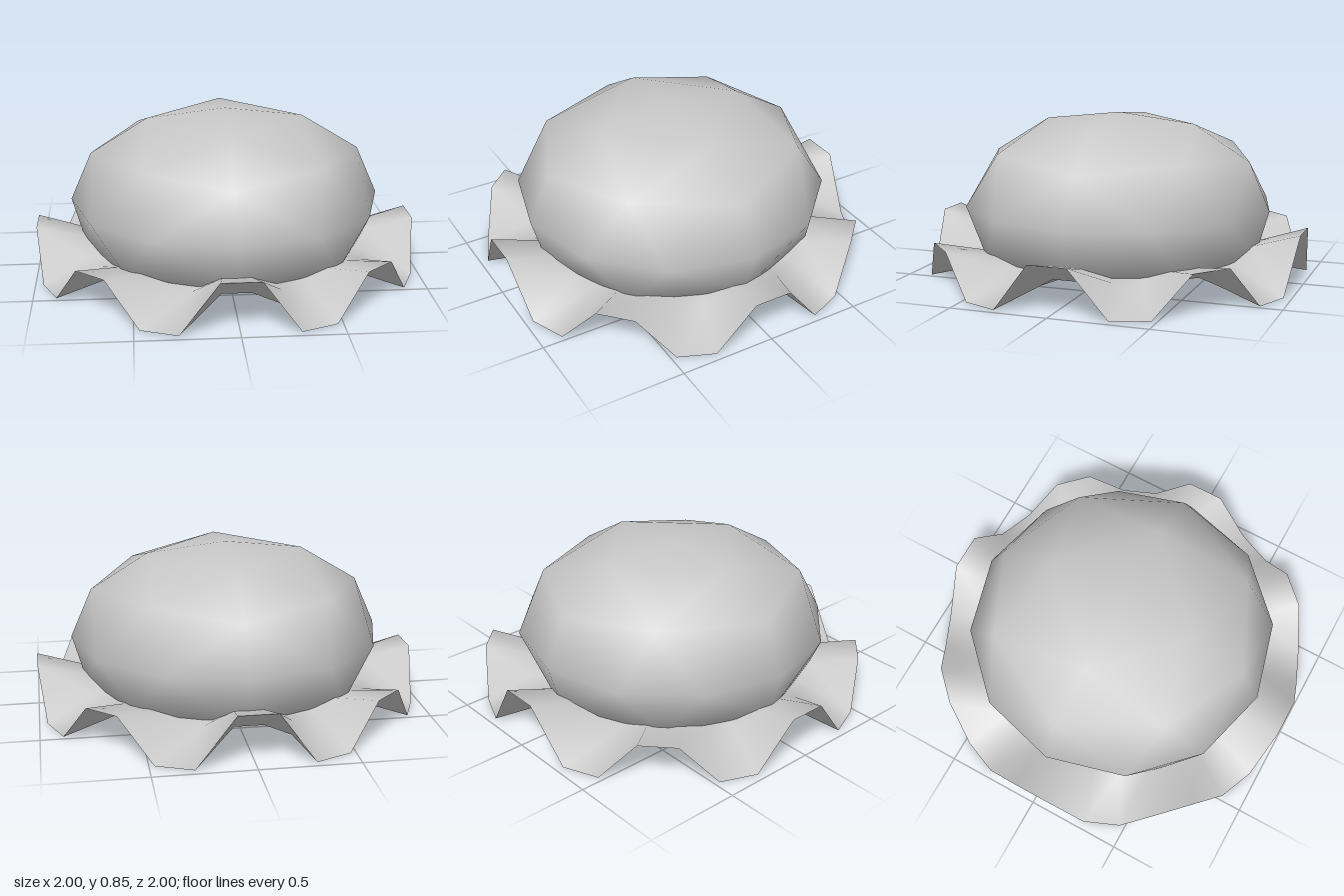
import * as THREE from 'three';

const SEGMENTS = 32;
const DOME_RADIUS = 0.815;
const DOME_HEIGHT = 0.48;

// Eight-fold ruffle: 1 on the crests, 0 in the troughs
const ruffle = (a) => (Math.cos(8 * a) / Math.SQRT1_2 + 1) / 2;
const crest = (a) => 0.24 + 0.025 * Math.cos(4 * a) + 0.015 * Math.cos(2 * a);
const wave = (a, low, high) => low + ruffle(a) * (high - low);

// Joins rings, from the middle outwards, into one smooth surface facing up or down
function ringSurface(rings, facesUp) {
  const positions = [];
  const indices = [];
  rings.forEach(({ r, y }) => {
    for (let i = 0; i < SEGMENTS; i++) {
      const a = ((i + 0.5) / SEGMENTS) * Math.PI * 2;
      positions.push(Math.sin(a) * r, y(a), Math.cos(a) * r);
    }
  });
  for (let k = 0; k < rings.length - 1; k++) {
    for (let i = 0; i < SEGMENTS; i++) {
      const a = k * SEGMENTS + i, b = k * SEGMENTS + ((i + 1) % SEGMENTS);
      const c = a + SEGMENTS, d = b + SEGMENTS;
      indices.push(...(facesUp ? [a, c, b, b, c, d] : [a, b, c, b, d, c]));
    }
  }
  const geometry = new THREE.BufferGeometry();
  geometry.setAttribute('position', new THREE.Float32BufferAttribute(positions, 3));
  geometry.setIndex(indices);
  geometry.computeVertexNormals();
  return geometry;
}

// Spaces the points along the octahedron's edges evenly, at 30 and 60 degrees
function evenSpacing(c) {
  const size = Math.abs(c);
  if (size > 0.4 && size < 0.5) return Math.sign(c) * 0.5;
  if (size > 0.85 && size < 0.95) return Math.sign(c) * 0.866;
  return c;
}

// Coarse sphere from a divided octahedron, squashed above and cut flat below
function domeGeometry() {
  const geometry = new THREE.OctahedronGeometry(1, 2);
  geometry.scale(DOME_RADIUS, DOME_HEIGHT, DOME_RADIUS);
  const p = geometry.attributes.position;
  for (let i = 0; i < p.count; i++) {
    let x = evenSpacing(p.getX(i) / DOME_RADIUS) * DOME_RADIUS;
    let z = evenSpacing(p.getZ(i) / DOME_RADIUS) * DOME_RADIUS;
    const u = evenSpacing(p.getY(i) / DOME_HEIGHT);
    let y = 0.37 + Math.min(0.5 * u, DOME_HEIGHT);
    if (u < -0.01) {
      y = 0.125;
      const r = Math.hypot(x, z);
      if (r > 0.5) {
        x *= 0.745 / r;
        z *= 0.745 / r;
      }
    } else if (u > 0.55 && u < 0.6) {
      x *= 0.95;
      z *= 1.07;
    }
    p.setXYZ(i, x, y, z);
  }
  return geometry;
}

export function createModel() {
  const group = new THREE.Group();
  const grey = new THREE.MeshStandardMaterial({ color: 0xc8c8c8 });
  grey.name = 'grey';
  const add = (name, geometry) => {
    const mesh = new THREE.Mesh(geometry, grey);
    mesh.name = name;
    group.add(mesh);
  };

  add('dome', domeGeometry());

  // Ruffled brim, thin at the rim and thicker under the dome
  const rim = { r: 1.003, y: (a) => wave(a, 0.003, crest(a)) };
  add('brimTop', ringSurface([
    { r: 0.6, y: (a) => wave(a, 0.135, 0.155) },
    { r: 0.75, y: (a) => wave(a, 0.12, 0.045 + 0.55 * crest(a)) },
    rim,
  ], true));

  // Closed underside, nearly flat until it flares at the rim
  add('brimUnderside', ringSurface([
    { r: 0, y: () => 0.09 },
    { r: 0.45, y: () => 0.085 },
    { r: 0.75, y: (a) => wave(a, 0.045, 0.118) },
    rim,
  ], false));

  return group;
}
